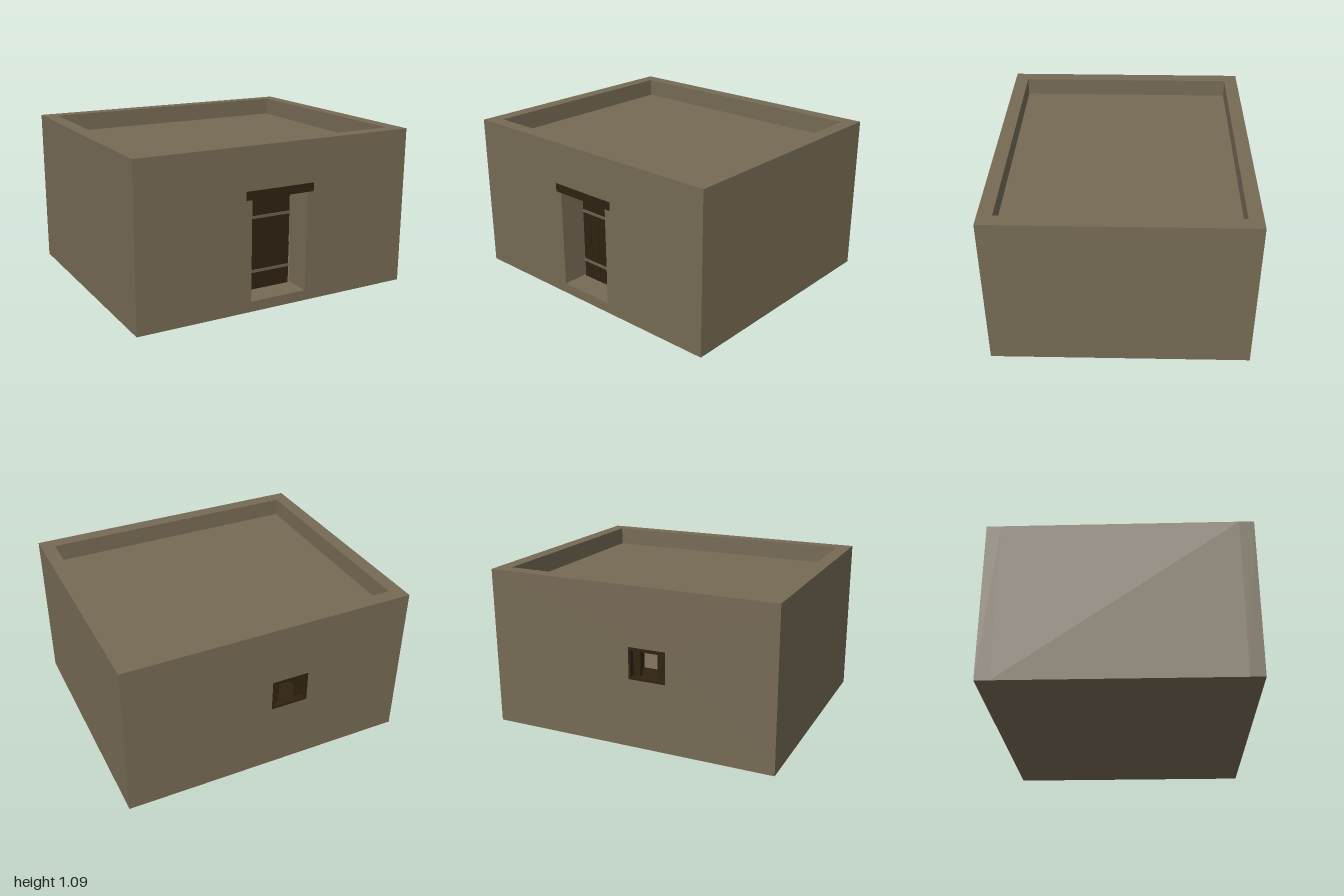
import * as THREE from 'three';

const clay = new THREE.MeshStandardMaterial({ color: 0x766a55 });
clay.name = 'clay';
const wood = new THREE.MeshStandardMaterial({ color: 0x2f2311 });
wood.name = 'dark wood';
const iron = new THREE.MeshStandardMaterial({ color: 0x6b6252 });
iron.name = 'worn iron';

const X = 1, Z = 0.857, H = 1.085; // half width, half depth, height
const RIM = 0.095;                 // parapet thickness
const WALL = 0.19;                 // wall thickness below the roof
const FLOOR = 0.07, ROOF = 0.96;

// Box given by its lower and upper corners
function box(parent, name, mat, [x0, y0, z0], [x1, y1, z1]) {
  const mesh = new THREE.Mesh(new THREE.BoxGeometry(x1 - x0, y1 - y0, z1 - z0), mat);
  mesh.position.set((x0 + x1) / 2, (y0 + y1) / 2, (z0 + z1) / 2);
  mesh.name = name;
  parent.add(mesh);
  return mesh;
}

function rectangle(path, x0, y0, x1, y1) {
  path.moveTo(x0, y0);
  path.lineTo(x1, y0);
  path.lineTo(x1, y1);
  path.lineTo(x0, y1);
  path.closePath();
  return path;
}

// Wall slab facing z with one rectangular opening
function piercedWall(parent, name, half, y0, y1, z0, depth, hole) {
  const shape = rectangle(new THREE.Shape(), -half, y0, half, y1);
  shape.holes.push(rectangle(new THREE.Path(), ...hole));
  const geo = new THREE.ExtrudeGeometry(shape, { depth, bevelEnabled: false });
  const mesh = new THREE.Mesh(geo, clay);
  mesh.position.z = z0;
  mesh.name = name;
  parent.add(mesh);
}

function buildHouse() {
  const house = new THREE.Group();
  house.name = 'house';
  const doorway = [-0.207, FLOOR, 0.205, 0.745];
  const opening = [-0.27, 0.47, -0.013, 0.685];
  const ix = X - RIM, iz = Z - RIM, lining = WALL - RIM;

  // Outer walls rise to the parapet, inner linings stop under the roof
  piercedWall(house, 'frontWall', X, 0, H, iz, RIM, doorway);
  piercedWall(house, 'backWall', X, 0, H, -Z, RIM, opening);
  piercedWall(house, 'frontLining', ix, 0.02, 0.92, iz - lining, lining, doorway);
  piercedWall(house, 'backLining', ix, 0.02, 0.92, -iz, lining, opening);
  for (const [side, s] of [['left', 1], ['right', -1]]) {
    const wall = box(house, side + 'Wall', clay, [ix, 0, -iz], [X, H, iz]);
    wall.position.x *= s;
    const inner = box(house, side + 'Lining', clay,
      [X - WALL, 0.02, -Z + WALL], [ix, 0.92, Z - WALL]);
    inner.position.x *= s;
  }
  box(house, 'floor', clay, [-ix, 0, -iz], [ix, FLOOR, iz]);
  box(house, 'roof', clay, [-ix, 0.9, -iz], [ix, ROOF, iz]);
  return house;
}

function buildDoor() {
  const door = new THREE.Group();
  door.name = 'door';
  const x0 = -0.19, pitch = 0.075, front = Z - 0.17, back = front - 0.025;
  // Five upright planks with narrow gaps
  for (let i = 0; i < 5; i++) {
    const x = x0 + i * pitch;
    box(door, 'plank' + (i + 1), wood,
      [x + 0.002, FLOOR + 0.003, back], [x + pitch - 0.002, 0.725, front]);
  }
  for (const y of [0.2, 0.57]) {
    box(door, 'strap', iron, [x0, y - 0.009, back - 0.004], [x0 + 5 * pitch, y + 0.009, front + 0.006]);
  }
  // Latch bar behind the planks
  box(door, 'latch', wood, [0.1, 0.33, back - 0.02], [0.203, 0.348, back]);
  box(door, 'latchKeeper', wood, [0.12, 0.325, back - 0.03], [0.135, 0.365, back]);
  return door;
}

function buildWindow() {
  const win = new THREE.Group();
  win.name = 'window';
  const x0 = -0.27, x1 = -0.013, y0 = 0.47, y1 = 0.685;
  const outer = -Z - 0.002, inner = -Z + WALL;
  // Timber lining around the opening
  box(win, 'sill', wood, [x0, y0, outer], [x1, y0 + 0.016, inner]);
  box(win, 'head', wood, [x0, y1 - 0.022, outer], [x1, y1, inner]);
  box(win, 'jamb', wood, [x0, y0 + 0.016, outer], [x0 + 0.016, y1 - 0.022, inner]);
  box(win, 'jamb', wood, [x1 - 0.016, y0 + 0.016, outer], [x1, y1 - 0.022, inner]);
  // Set-back side boards leave a narrow central opening
  const z0 = -Z + 0.035, z1 = -Z + 0.06;
  box(win, 'sideBoard', wood, [x0 + 0.016, y0 + 0.016, z0], [-0.2, y1 - 0.022, z1]);
  box(win, 'sideBoard', wood, [-0.08, y0 + 0.016, z0], [x1 - 0.016, y1 - 0.022, z1]);
  return win;
}

export function createModel() {
  const model = new THREE.Group();
  model.name = 'clayHouse';
  model.add(buildHouse(), buildDoor(), buildWindow());
  // Beam over the doorway
  box(model, 'lintel', wood, [-0.25, 0.743, Z - WALL - 0.003], [0.25, 0.8, Z + 0.003]);
  return model;
}
